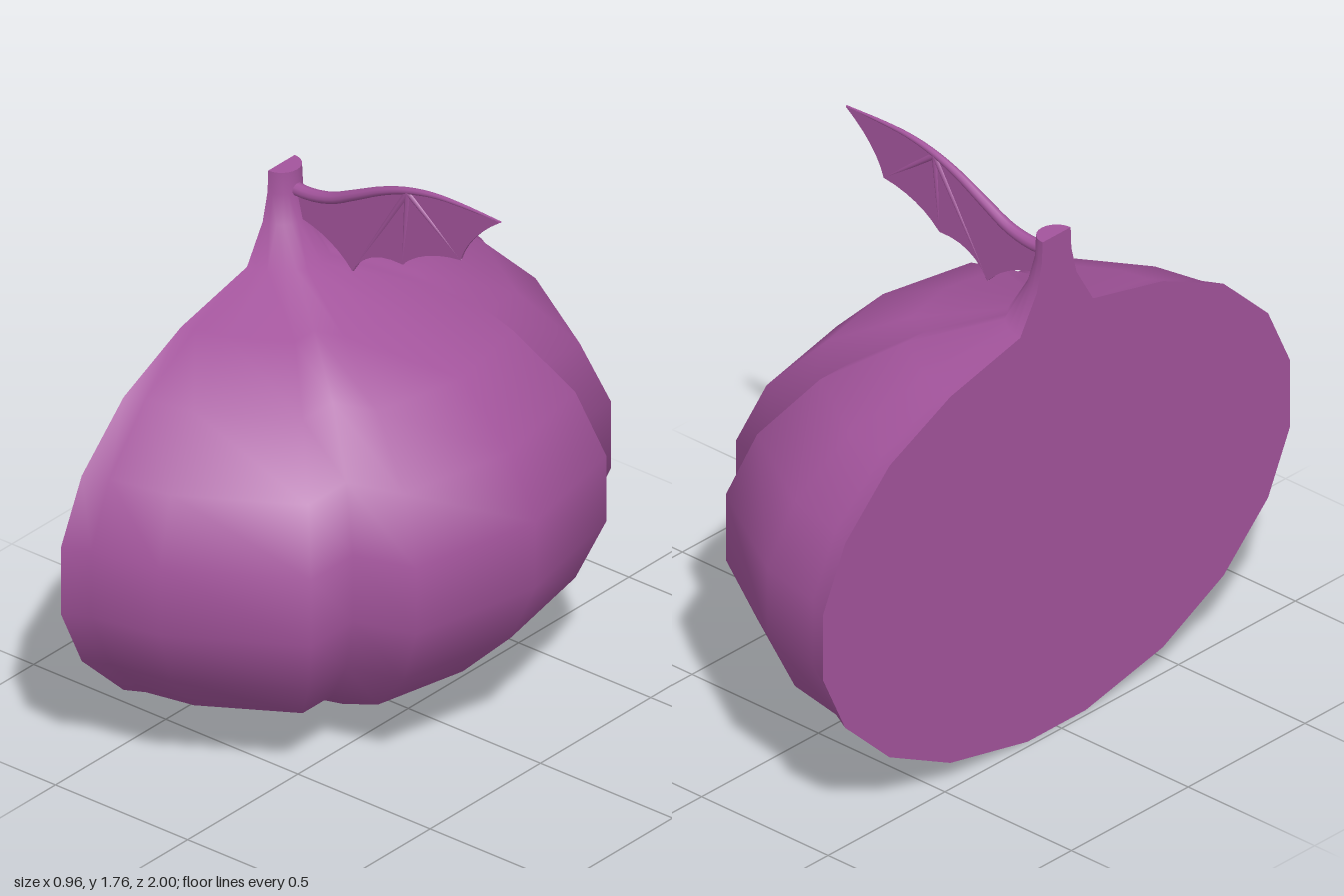
import * as THREE from 'three';

const CUT = -0.48; // x of the flat cut face
const material = new THREE.MeshStandardMaterial({ color: 0xa3549c, side: THREE.DoubleSide });

// Fruit profile from base to stem tip: [radius, height, roundness of the section]
const PROFILE = [
  [0, 0, 0], [0.125, 0, 0], [0.455, 0.07, 0], [0.715, 0.2, 0], [0.905, 0.38, 0],
  [1, 0.58, 0], [1, 0.8, 0], [0.905, 1.0, 0], [0.715, 1.18, 0], [0.455, 1.3, 0],
  [0.156, 1.37, 0.5], [0.085, 1.49, 1], [0.063, 1.58, 1], [0.06, 1.65, 1],
  [0.06, 1.65, 1], [0, 1.65, 1],
];

// Half of the lobed section, from the rim to the middle: [x from cut, z]
const HALF = [[0, 1], [0.08, 0.957], [0.3, 0.913], [0.68, 0.68], [0.68, 0.49], [0.87, 0.43], [0.96, 0]];
const SECTION = [...HALF, ...HALF.slice(0, -1).reverse().map(([x, z]) => [x, -z])];

function mesh(name, geometry) {
  const m = new THREE.Mesh(geometry, material);
  m.name = name;
  return m;
}

// Lobed half body that narrows into a round stem
function bodyGeometry() {
  const positions = [], index = [], n = SECTION.length;
  PROFILE.forEach(([r, y, round], i) => {
    SECTION.forEach(([x, z], j) => {
      const a = Math.PI * j / (n - 1);
      positions.push(
        CUT + r * THREE.MathUtils.lerp(x, Math.sin(a), round),
        y,
        r * THREE.MathUtils.lerp(z, Math.cos(a), round));
      if (i && j) {
        const d = i * n + j, c = d - 1, b = d - n, a0 = b - 1;
        index.push(a0, b, c, b, d, c);
      }
    });
  });
  const g = new THREE.BufferGeometry();
  g.setAttribute('position', new THREE.Float32BufferAttribute(positions, 3));
  g.setIndex(index);
  g.computeVertexNormals();
  return g;
}

// Flat face that closes the cut side
function cutGeometry() {
  const side = PROFILE.slice(1, -2);
  const outline = [
    ...side.map(([r, y]) => new THREE.Vector2(r, y)),
    ...side.map(([r, y]) => new THREE.Vector2(-r, y)).reverse(),
  ];
  return new THREE.ShapeGeometry(new THREE.Shape(outline)).rotateY(-Math.PI / 2).translate(CUT, 0, 0);
}

// Tube along [x, y] points, narrowing from r0 to r1
function taperedTube(points, r0, r1, steps, sides) {
  const curve = new THREE.CatmullRomCurve3(points.map(([x, y]) => new THREE.Vector3(x, y, 0)));
  const g = new THREE.TubeGeometry(curve, steps, r0, sides);
  const p = g.attributes.position, v = new THREE.Vector3();
  for (let k = 0; k < p.count; k++) {
    const t = Math.floor(k / (sides + 1)) / steps;
    const c = curve.getPointAt(t);
    v.fromBufferAttribute(p, k).sub(c).multiplyScalar(THREE.MathUtils.lerp(1, r1 / r0, t)).add(c);
    p.setXYZ(k, v.x, v.y, v.z);
  }
  return g;
}

function createWing() {
  const wing = new THREE.Group();
  wing.name = 'wingLeaf';
  const arm = [[-0.45, 1.585], [-0.37, 1.585], [-0.29, 1.602], [-0.2, 1.645], [-0.1, 1.695],
    [0, 1.732], [0.1, 1.752], [0.2, 1.757], [0.35, 1.755]];
  wing.add(mesh('wingArm', taperedTube(arm, 0.022, 0.003, 28, 10)));

  // Thin membrane with a scalloped lower edge
  const s = new THREE.Shape();
  s.moveTo(...arm[0]);
  arm.slice(1).forEach((q) => s.lineTo(...q));
  s.quadraticCurveTo(0.23, 1.67, 0.2, 1.575);
  s.quadraticCurveTo(0.06, 1.56, -0.02, 1.48);
  s.quadraticCurveTo(-0.15, 1.49, -0.21, 1.39);
  s.quadraticCurveTo(-0.28, 1.47, -0.4, 1.495);
  s.lineTo(-0.42, 1.55);
  const membrane = new THREE.ExtrudeGeometry(s, { depth: 0.008, bevelEnabled: false, curveSegments: 6 });
  wing.add(mesh('wingMembrane', membrane.translate(0, 0, -0.004)));

  // Finger bones fanning out from the wrist
  for (const tip of [[-0.21, 1.39], [-0.02, 1.48], [0.2, 1.575]]) {
    wing.add(mesh('wingFinger', taperedTube([[0, 1.728], tip], 0.011, 0.004, 4, 6)));
  }
  return wing;
}

export function createModel() {
  const model = new THREE.Group();
  model.name = 'halfFruit';
  model.add(mesh('bodyAndStem', bodyGeometry()), mesh('cutFace', cutGeometry()), createWing());
  return model;
}
